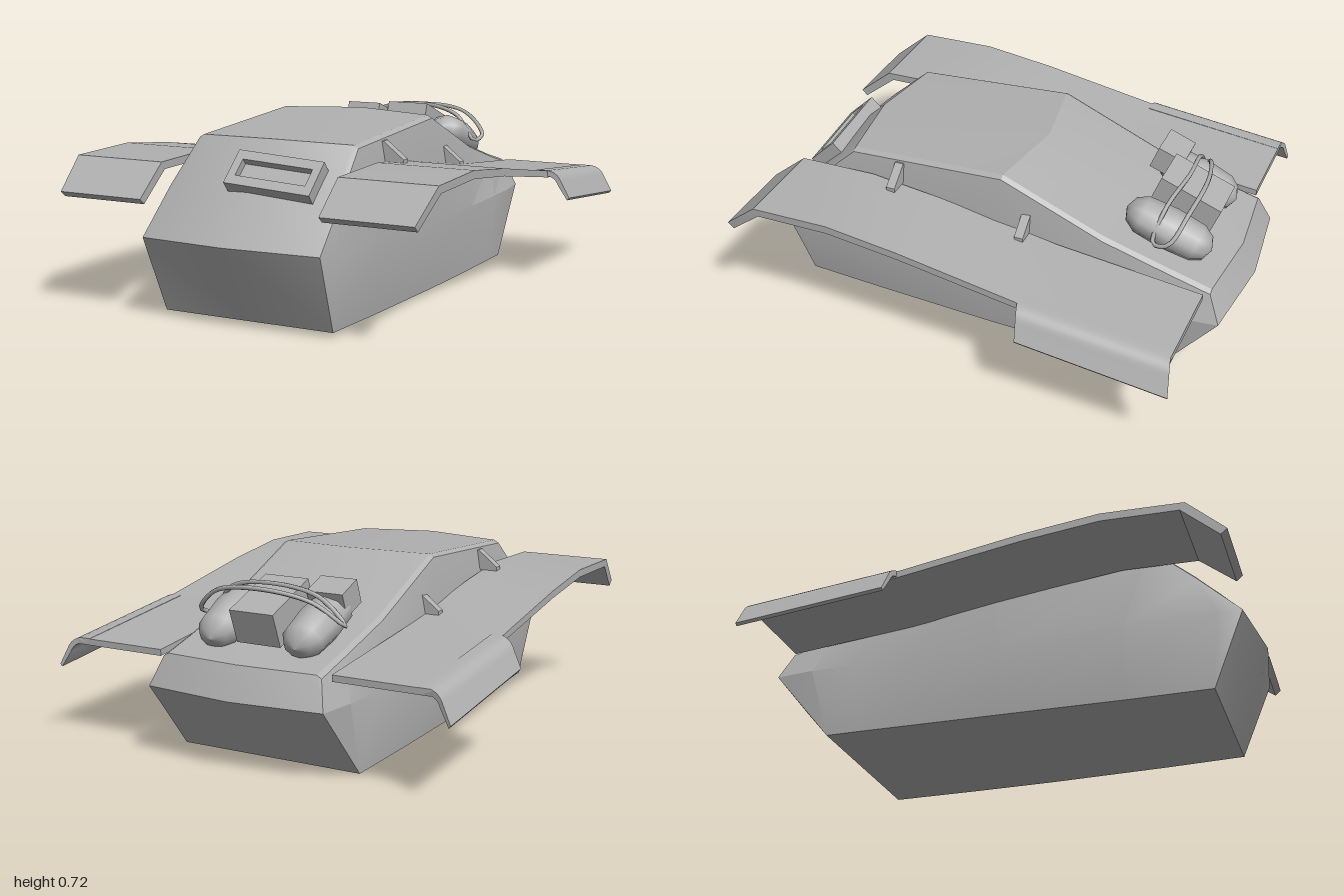
import * as THREE from 'three';
import { toCreasedNormals } from 'three/addons/utils/BufferGeometryUtils.js';

const grey = new THREE.MeshStandardMaterial({ color: 0xb0b0b0 });
grey.name = 'grey';

function part(parent, name, geometry) {
  const mesh = new THREE.Mesh(geometry, grey);
  mesh.name = name;
  parent.add(mesh);
  return mesh;
}

// Mirrored copy across x = 0 with the corner order restored
function mirrorX(geometry) {
  const g = geometry.index ? geometry.toNonIndexed() : geometry.clone();
  const p = g.attributes.position;
  for (let i = 0; i < p.count; i += 3) {
    const a = [p.getX(i), p.getY(i), p.getZ(i)];
    const b = [p.getX(i + 1), p.getY(i + 1), p.getZ(i + 1)];
    const c = [p.getX(i + 2), p.getY(i + 2), p.getZ(i + 2)];
    [a, c, b].forEach((v, k) => p.setXYZ(i + k, -v[0], v[1], v[2]));
  }
  g.computeVertexNormals();
  return toCreasedNormals(g, 0.5);
}

function pair(parent, name, geometry) {
  const g = toCreasedNormals(geometry, 0.5);
  part(parent, name + 'Left', g);
  part(parent, name + 'Right', mirrorX(g));
}

// Extrude a (z, y) outline sideways from x0 to x1
function sideExtrude(points, x0, x1) {
  const shape = new THREE.Shape(points.map(([z, y]) => new THREE.Vector2(z, y)));
  return new THREE.ExtrudeGeometry(shape, { depth: x1 - x0, bevelEnabled: false })
    .rotateY(-Math.PI / 2).translate(x1, 0, 0);
}

// Hull from cross-sections, tail to nose
function hullGeometry() {
  // bottom edge, waist, roof edge as [x, y, z]; roof centre as [y, z]
  const stations = [
    [[0.38, 0.3, -0.96], [0.38, 0.3, -0.96], [0.38, 0.3, -0.96], [0.3, -1.0]],
    [[0.392, 0.01, -0.72], [0.4, 0.3, -0.8], [0.345, 0.41, -0.91], [0.425, -0.94]],
    [[0.392, 0.011, -0.6], [0.405, 0.3, -0.62], [0.345, 0.455, -0.74], [0.465, -0.76]],
    [[0.39, 0.012, -0.35], [0.41, 0.3, -0.35], [0.35, 0.535, -0.47], [0.55, -0.5]],
    [[0.385, 0.015, 0], [0.418, 0.3, 0], [0.352, 0.71, -0.05], [0.73, -0.11]],
    [[0.37, 0.022, 0.5], [0.41, 0.32, 0.5], [0.345, 0.67, 0.6], [0.69, 0.64]],
    [[0.36, 0.03, 0.83], [0.392, 0.33, 0.87], [0.365, 0.505, 0.78], [0.52, 0.82]],
    [[0.375, 0.335, 0.955], [0.375, 0.335, 0.955], [0.375, 0.335, 0.955], [0.34, 1.0]],
  ];
  const pos = [], idx = [];
  stations.forEach(([b, w, r, c], i) => {
    const end = i === 0 || i === stations.length - 1;
    const r2 = end ? r : [r[0] - 0.02, r[1] + 0.012, r[2]];
    const half = [b, w, r, r2];
    const ring = [end ? [0, c[0], c[1]] : [0, b[1], b[2]], ...half, [0, c[0], c[1]],
      ...half.slice().reverse().map(([x, y, z]) => [-x, y, z])];
    pos.push(...ring.flat());
    if (i === 0) return;
    const n = ring.length;
    for (let j = 0; j < n; j++) {
      const k = (j + 1) % n;
      const a = (i - 1) * n + j, bb = (i - 1) * n + k, cc = i * n + k, d = i * n + j;
      idx.push(a, bb, d, bb, cc, d);
    }
  });
  const g = new THREE.BufferGeometry();
  g.setAttribute('position', new THREE.Float32BufferAttribute(pos, 3));
  g.setIndex(idx);
  return toCreasedNormals(g, 0.4);
}

// Long mudguard, its front lip narrowing a little
function fenderGeometry() {
  const top = [[0.965, 0.48], [0.82, 0.6], [0.5, 0.607], [0.2, 0.57], [-0.3, 0.487], [-0.89, 0.425]];
  const low = [[-0.89, 0.4], [-0.3, 0.46], [0.2, 0.54], [0.5, 0.575], [0.8, 0.57], [0.94, 0.458]];
  const g = sideExtrude([...top, ...low], 0.375, 0.765);
  const p = g.attributes.position;
  for (let i = 0; i < p.count; i++) {
    if (p.getX(i) > 0.7 && p.getZ(i) > 0.9) p.setX(i, 0.742);
  }
  return g;
}

// Drooping flare on the rear outer edge of the mudguard
function flareGeometry() {
  const s = new THREE.Shape();
  s.moveTo(0.72, 0.457);
  s.lineTo(0.765, 0.457);
  s.quadraticCurveTo(0.805, 0.45, 0.82, 0.41);
  s.lineTo(0.853, 0.345);
  s.lineTo(0.845, 0.335);
  s.lineTo(0.808, 0.395);
  s.quadraticCurveTo(0.795, 0.43, 0.765, 0.433);
  s.lineTo(0.72, 0.433);
  const g = new THREE.ExtrudeGeometry(s, { depth: 0.595, bevelEnabled: false, curveSegments: 5 })
    .translate(0, 0, -0.89);
  const p = g.attributes.position;
  for (let i = 0; i < p.count; i++) {
    const z = p.getZ(i);
    p.setY(i, p.getY(i) + 0.107 * (z + 0.6));
    p.setZ(i, z - 0.27 * Math.max(0, p.getX(i) - 0.765));
  }
  return g;
}

// Vision port frame on the sloping front plate
function addPort(parent) {
  const rect = (w, h, T) => new T([[-w, -h], [w, -h], [w, h], [-w, h]]
    .map(([x, y]) => new THREE.Vector2(x / 2, y / 2)));
  const outer = rect(0.355, 0.155, THREE.Shape);
  outer.holes.push(rect(0.29, 0.075, THREE.Path));
  const port = new THREE.Group();
  port.name = 'visionPort';
  part(port, 'portFrame', new THREE.ExtrudeGeometry(outer, { depth: 0.06, bevelEnabled: false }));
  part(port, 'portPane', new THREE.BoxGeometry(0.29, 0.075, 0.04).translate(0, 0, 0.01));
  port.position.set(0.095, 0.55, 0.755);
  port.rotation.set(-0.8, 0.06, -0.03);
  parent.add(port);
}

// Bags, boxes and rope on the rear deck
function addStowage(parent) {
  const stow = new THREE.Group();
  stow.name = 'stowage';
  const tilt = -0.36;
  const profile = [[0, -0.185], [0.06, -0.165], [0.09, -0.12], [0.1, 0], [0.09, 0.12], [0.06, 0.165], [0, 0.185]]
    .map(([x, y]) => new THREE.Vector2(x, y));
  for (const [x, yaw, len] of [[-0.195, 0, 0.95], [0.18, 0.06, 1]]) {
    const bag = part(stow, 'bag', new THREE.LatheGeometry(profile, 10)
      .rotateX(Math.PI / 2).scale(0.95, 0.78, len));
    bag.position.set(x, 0.545, -0.685);
    bag.rotation.set(tilt, yaw, 0);
  }
  const large = part(stow, 'largeBox', new THREE.BoxGeometry(0.19, 0.14, 0.265));
  large.position.set(-0.015, 0.585, -0.71);
  large.rotation.x = tilt;
  const small = part(stow, 'smallBox', new THREE.BoxGeometry(0.155, 0.1, 0.115));
  small.position.set(-0.197, 0.63, -0.57);
  small.rotation.x = tilt;

  const rope = [[-0.31, 0.55, -0.68], [-0.2, 0.635, -0.73], [0, 0.675, -0.775], [0.2, 0.65, -0.765],
    [0.305, 0.56, -0.72], [0.29, 0.54, -0.655], [0.2, 0.645, -0.67], [0, 0.685, -0.7], [-0.2, 0.65, -0.685]];
  const curve = new THREE.CatmullRomCurve3(rope.map((v) => new THREE.Vector3(...v)), true);
  part(stow, 'rope', new THREE.TubeGeometry(curve, 60, 0.009, 6, true));
  parent.add(stow);
}

export function createModel() {
  const model = new THREE.Group();
  model.name = 'armouredHull';
  part(model, 'hull', hullGeometry());
  pair(model, 'fender', fenderGeometry());
  pair(model, 'rearFlare', flareGeometry());

  // Triangular brackets between hull and mudguards
  for (const [z, y] of [[0.39, 0.59], [-0.16, 0.505]]) {
    const s = new THREE.Shape([[0.34, 0], [0.44, 0], [0.44, 0.018], [0.355, 0.085], [0.34, 0.085]]
      .map(([x, h]) => new THREE.Vector2(x, y + h)));
    pair(model, 'bracket', new THREE.ExtrudeGeometry(s, { depth: 0.036, bevelEnabled: false })
      .translate(0, 0, z - 0.018));
  }

  addPort(model);
  addStowage(model);
  return model;
}
